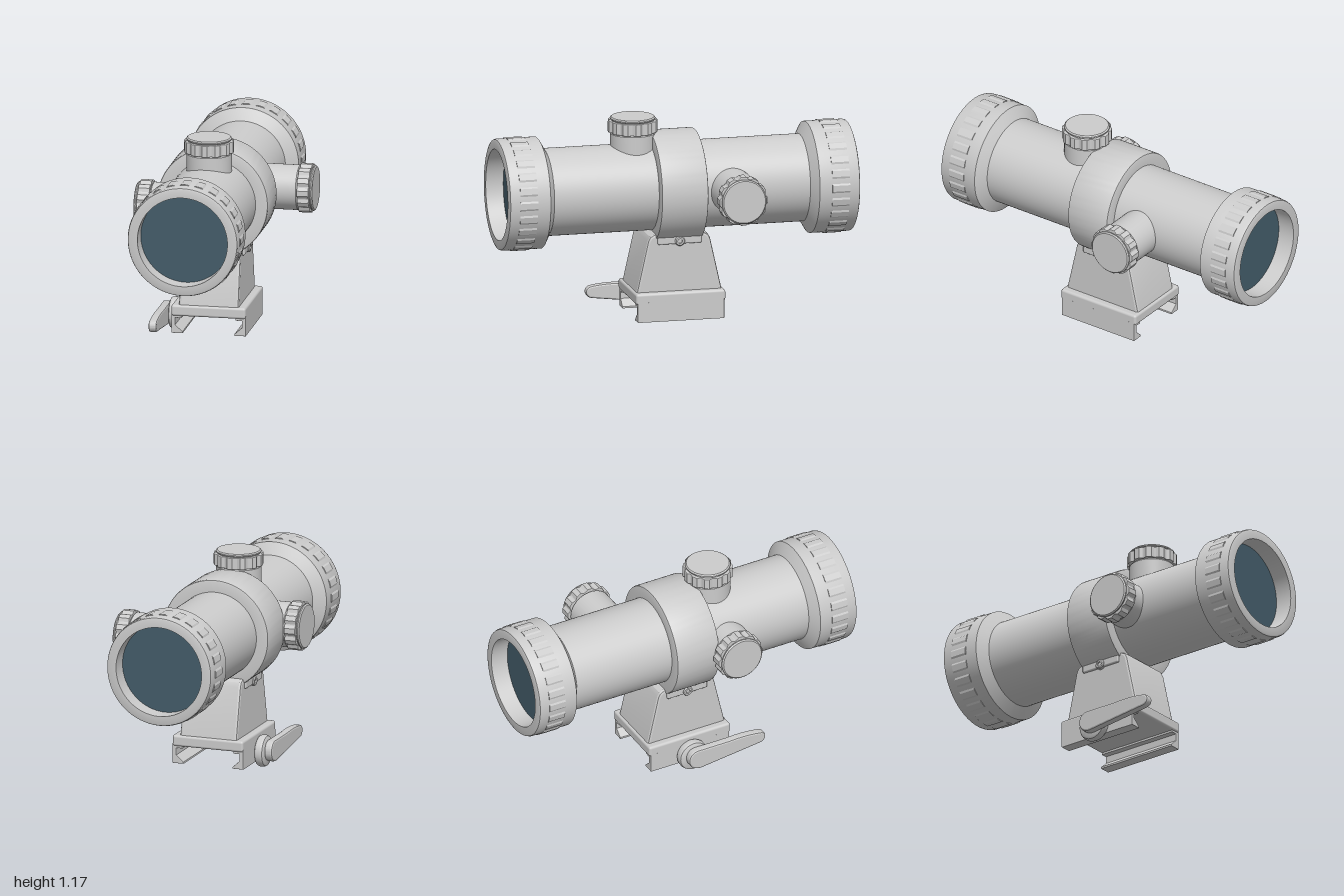
import * as THREE from 'three';
import { toCreasedNormals } from 'three/addons/utils/BufferGeometryUtils.js';
import { RoundedBoxGeometry } from 'three/addons/geometries/RoundedBoxGeometry.js';

const CX = -0.05, CY = 0.763; // optical axis

export function createModel() {
  const model = new THREE.Group();
  model.name = 'opticalSight';
  const metal = new THREE.MeshStandardMaterial({ color: 0xcccccc });
  metal.name = 'grey metal';
  const glass = new THREE.MeshStandardMaterial({ color: 0x435c69 });
  glass.name = 'dark glass';

  const add = (name, geometry, parent = model, material = metal) => {
    const mesh = new THREE.Mesh(geometry, material);
    mesh.name = name;
    parent.add(mesh);
    return mesh;
  };
  const lathe = (points, segments = 72) => toCreasedNormals(
    new THREE.LatheGeometry(points.map(([r, y]) => new THREE.Vector2(r, y)), segments), 0.5);
  const polygon = (points) => new THREE.Shape(points.map(([x, y]) => new THREE.Vector2(x, y)));
  // Extrusion with its bevel kept inside the given outline and depth
  const extrude = (shape, depth, bevel) => {
    const g = new THREE.ExtrudeGeometry(shape, {
      depth: depth - 2 * bevel, bevelEnabled: bevel > 0, bevelThickness: bevel,
      bevelSize: bevel, bevelOffset: -bevel, bevelSegments: 2, curveSegments: 24,
    });
    g.translate(0, 0, bevel - depth / 2);
    return toCreasedNormals(g, 0.35);
  };
  // Scalloped outline for the grip surfaces
  const gripShape = (teeth, inner, outer) => {
    const points = [];
    for (let i = 0; i < teeth; i++) {
      for (const [t, r] of [[-0.45, inner], [-0.2, outer], [0.2, outer], [0.45, inner]]) {
        const a = (i + t) * 2 * Math.PI / teeth;
        points.push([r * Math.cos(a), r * Math.sin(a)]);
      }
    }
    return polygon(points);
  };

  // Sight body: tube with flared, hollow ends
  const sight = new THREE.Group();
  sight.name = 'sightBody';
  sight.position.set(CX, CY, 0);
  model.add(sight);
  const half = [[0.244, 0.73], [0.25, 0.733], [0.311, 0.768], [0.311, 0.985],
    [0.307, 0.996], [0.297, 1], [0.254, 1], [0.254, 0.89]];
  const profile = [...half.map(([r, y]) => [r, -y]).reverse(), ...half];
  add('mainTube', lathe(profile, 96).rotateX(Math.PI / 2), sight);

  // Lenses set back in the ends, and the raised grip rings around them
  for (const side of [1, -1]) {
    const end = side > 0 ? 'front' : 'rear';
    const lens = add(end + 'Lens', new THREE.CircleGeometry(0.255, 96), sight, glass);
    lens.position.z = side * 0.9;
    if (side < 0) lens.rotation.y = Math.PI;
    const outline = gripShape(24, 0.306, 0.316);
    outline.holes.push(new THREE.Path().absarc(0, 0, 0.28, 0, Math.PI * 2, true));
    add(end + 'GripRing', extrude(outline, 0.1, 0), sight).position.z = side * 0.89;
  }

  // Clamp ring around the middle of the tube
  add('clampRing', lathe([[0.24, -0.133], [0.302, -0.133], [0.31, -0.13], [0.313, -0.122],
    [0.313, 0.122], [0.31, 0.13], [0.302, 0.133], [0.24, 0.133]], 96).rotateX(Math.PI / 2), sight);

  // Turrets: stem, gripped cap and rounded lid, built along +y
  const turret = (name, start, z, tilt) => {
    const group = new THREE.Group();
    group.name = name;
    add('turretStem', lathe([[0.126, 0.17], [0.126, start - 0.008], [0.118, start]], 48), group);
    const cap = add('turretCap', extrude(gripShape(12, 0.128, 0.139), 0.066, 0.004), group);
    cap.rotation.x = -Math.PI / 2;
    cap.position.y = start + 0.033;
    add('turretLid', lathe([[0.12, start + 0.06], [0.12, start + 0.068], [0.126, start + 0.073],
      [0.126, start + 0.079], [0.119, start + 0.085], [0, start + 0.085]], 48), group);
    group.position.z = z;
    group.rotation.z = tilt;
    sight.add(group);
  };
  turret('topTurret', 0.319, 0.225, 0);
  turret('leftTurret', 0.418, -0.29, -Math.PI / 2);
  turret('rightTurret', 0.32, 0.225, Math.PI / 2);

  // Mount post, tapering upward when seen from the side
  const post = polygon([[-0.245, 0.18], [0.245, 0.18], [0.24, 0.21], [0.178, 0.488], [0.165, 0.512],
    [0.14, 0.525], [-0.14, 0.525], [-0.165, 0.512], [-0.178, 0.488], [-0.24, 0.21]]);
  add('mountPost', extrude(post, 0.338, 0.014).rotateY(-Math.PI / 2)).position.x = CX;
  add('clampFlange', new RoundedBoxGeometry(0.362, 0.045, 0.25, 2, 0.008)).position.set(CX, 0.49, 0);

  // Clamp screws with sockets
  for (const side of [1, -1]) {
    const screw = add('clampScrew', lathe([[0.028, -0.03], [0.028, 0.012], [0.023, 0.018],
      [0.013, 0.018], [0.013, 0.006], [0, 0.006]], 24));
    screw.rotation.z = -side * Math.PI / 2;
    screw.position.set(CX + side * 0.172, 0.485, 0);
  }

  // Rail base and its two hooked jaws
  add('basePlate', new RoundedBoxGeometry(0.42, 0.063, 0.51, 3, 0.014)).position.set(CX, 0.168, 0);
  const jaw = [[0.21, 0.15], [0.21, 0.038], [0.146, 0.038], [0.146, 0.048], [0.188, 0.085],
    [0.188, 0.125], [0.152, 0.125], [0.152, 0.15]];
  for (const side of [1, -1]) {
    const shape = polygon(jaw.map(([x, y]) => [side * x, y]));
    add(side > 0 ? 'leftJaw' : 'rightJaw', extrude(shape, 0.494, 0.003)).position.x = CX;
  }

  // Quick-release lever on the right side
  const pivot = add('leverPivot', lathe([[0, -0.027], [0.072, -0.027], [0.084, -0.021], [0.089, -0.01],
    [0.089, 0.01], [0.084, 0.021], [0.072, 0.027], [0, 0.027]], 48));
  pivot.rotation.z = Math.PI / 2;
  pivot.position.set(-0.285, 0.09, 0);
  const lever = new THREE.Shape();
  lever.moveTo(0.02, 0.032);
  lever.lineTo(0.39, 0.077);
  lever.bezierCurveTo(0.436, 0.082, 0.438, 0.14, 0.395, 0.146);
  lever.quadraticCurveTo(0.3, 0.162, 0.2, 0.154);
  lever.lineTo(0, 0.154);
  lever.bezierCurveTo(-0.075, 0.15, -0.075, 0.03, 0.02, 0.032);
  add('leverHandle', extrude(lever, 0.046, 0.01).rotateY(-Math.PI / 2)).position.x = -0.332;

  return model;
}
